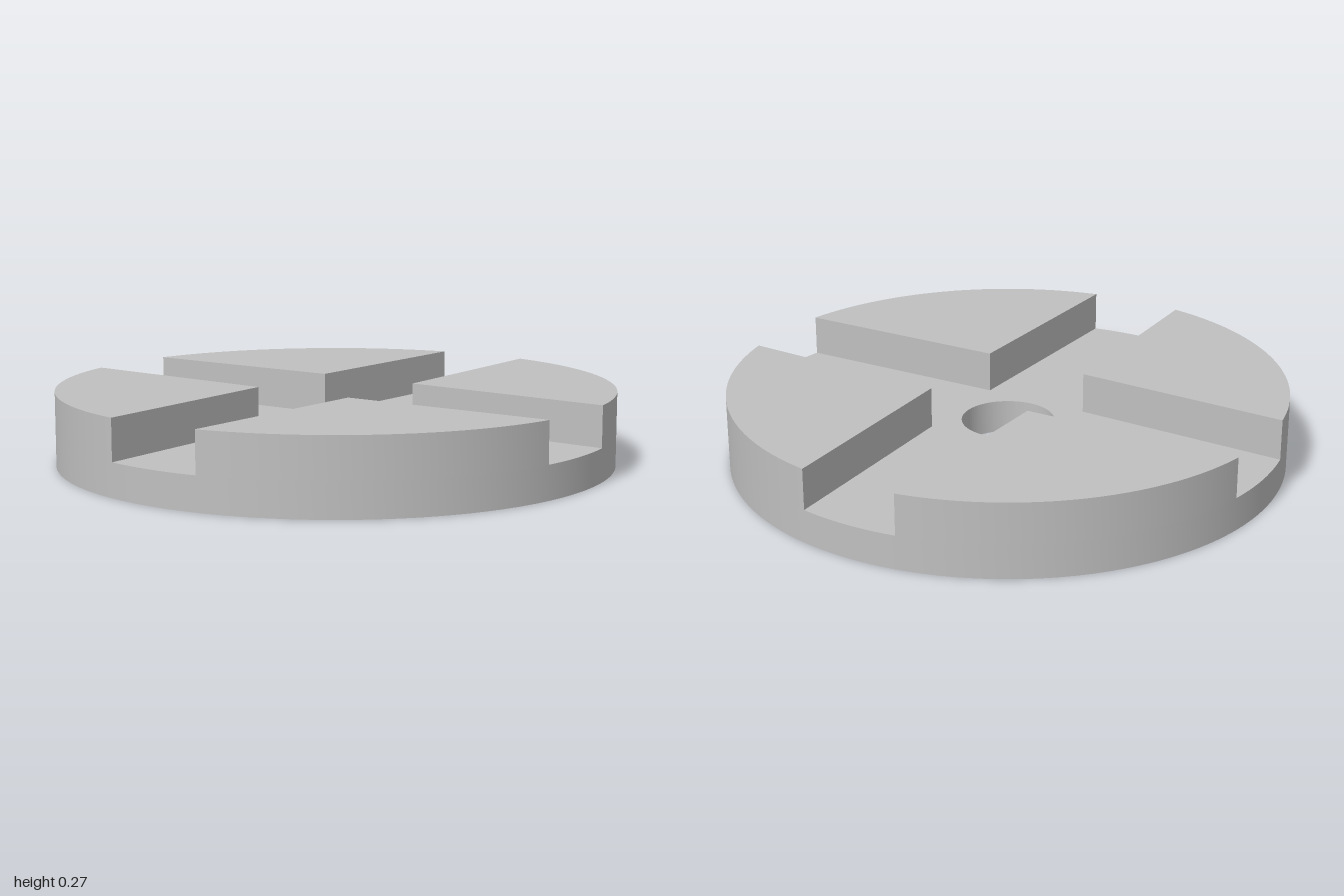
import * as THREE from 'three';
import { toCreasedNormals } from 'three/addons/utils/BufferGeometryUtils.js';

const RADIUS = 1, HOLE = 0.167;
const BASE_HEIGHT = 0.12, TOP = 0.267;
const SLOT_INNER = 0.198, SLOT_OUTER = 0.178; // slot half-widths, narrowing outward

// Extrude a plan outline upward, smooth round the curves and sharp at the corners
function slab(shape, height, curveSegments) {
  const geometry = new THREE.ExtrudeGeometry(shape, { depth: height, bevelEnabled: false, curveSegments });
  geometry.rotateX(-Math.PI / 2);
  return toCreasedNormals(geometry, Math.PI / 6);
}

export function createModel() {
  const model = new THREE.Group();
  model.name = 'slottedDisc';
  const metal = new THREE.MeshStandardMaterial({ color: 0xc0c0c0 });
  metal.name = 'grey metal';

  // Base disc with a round centre hole
  const disc = new THREE.Shape().absarc(0, 0, RADIUS, 0, Math.PI * 2);
  disc.holes.push(new THREE.Path().absarc(0, 0, HOLE, 0, Math.PI * 2, true));
  const base = new THREE.Mesh(slab(disc, BASE_HEIGHT, 96), metal);
  base.name = 'baseDisc';
  model.add(base);

  // Four raised quadrants, leaving a cross of tapered slots between them
  const start = Math.asin(SLOT_OUTER / RADIUS);
  const quadrant = new THREE.Shape();
  quadrant.moveTo(SLOT_INNER, SLOT_INNER);
  quadrant.lineTo(RADIUS * Math.cos(start), RADIUS * Math.sin(start));
  quadrant.absarc(0, 0, RADIUS, start, Math.PI / 2 - start);
  quadrant.closePath();
  const quadrantGeometry = slab(quadrant, TOP - BASE_HEIGHT, 24);
  for (let i = 0; i < 4; i++) {
    const raised = new THREE.Mesh(quadrantGeometry, metal);
    raised.name = `raisedQuadrant${i + 1}`;
    raised.position.y = BASE_HEIGHT;
    raised.rotation.y = i * Math.PI / 2;
    model.add(raised);
  }
  return model;
}
